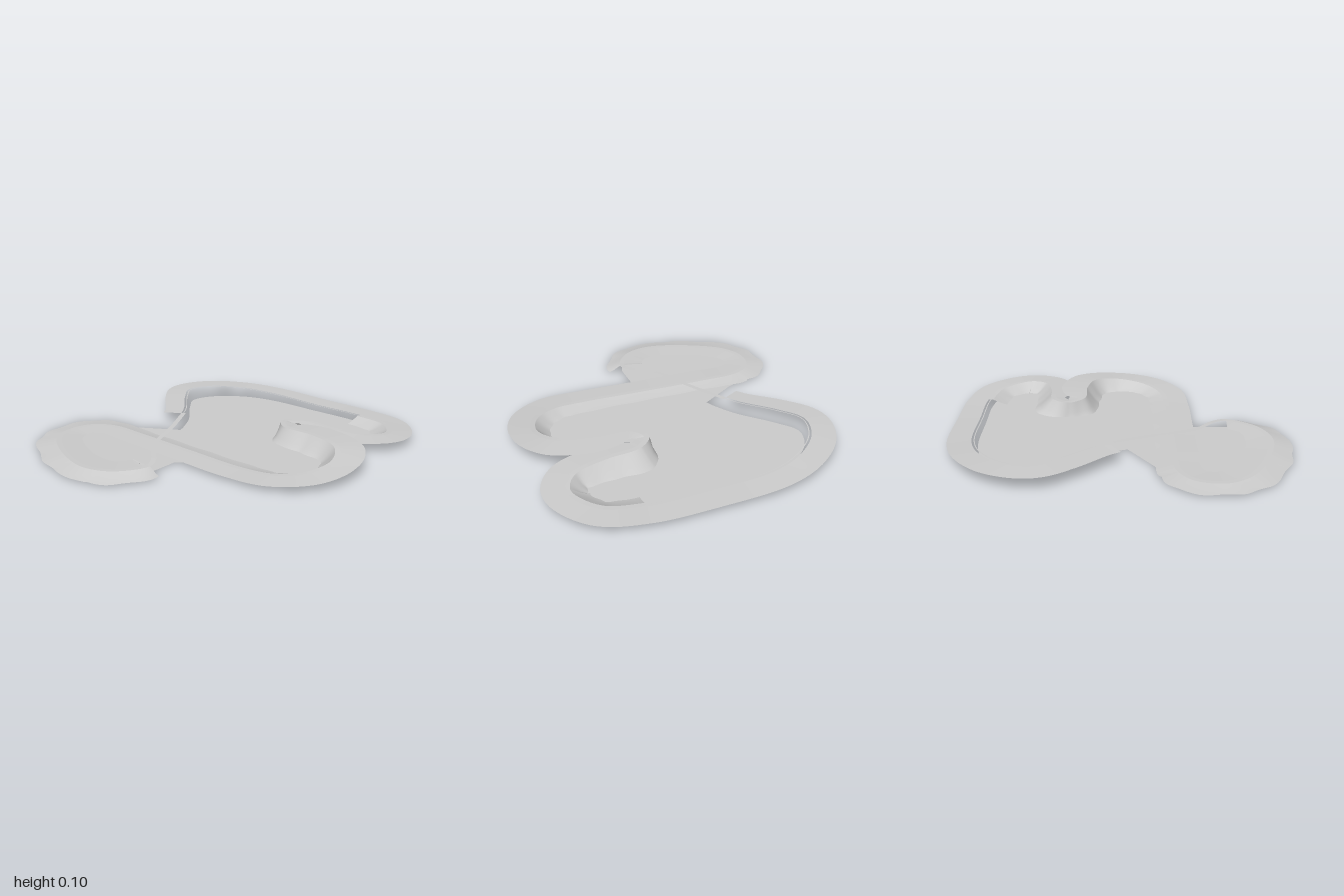
import * as THREE from 'three';

const grey = new THREE.MeshStandardMaterial({ color: 0xcccccc, side: THREE.DoubleSide });
grey.name = 'track grey';

// Centre line of the circuit: x, y, z (closed, crossing itself at the bridge)
const centre = [
  [-0.36, 0.068, 0.02], [-0.45, 0.07, -0.13], [-0.62, 0.075, -0.32], [-0.71, 0.076, -0.46],
  [-0.66, 0.07, -0.62], [-0.5, 0.058, -0.76], [-0.3, 0.045, -0.83], [0.1, 0.034, -0.845],
  [0.43, 0.036, -0.845], [0.65, 0.045, -0.79], [0.765, 0.058, -0.62], [0.7, 0.068, -0.49],
  [0.5, 0.08, -0.43], [0.3, 0.09, -0.41], [0.22, 0.093, -0.32], [0.29, 0.096, -0.23],
  [0.5, 0.097, -0.22], [0.7, 0.09, -0.16], [0.785, 0.07, 0], [0.74, 0.05, 0.18],
  [0.6, 0.035, 0.29], [0.4, 0.025, 0.32], [0, 0.022, 0.315], [-0.4, 0.022, 0.31],
  [-0.66, 0.022, 0.32], [-0.78, 0.022, 0.4], [-0.81, 0.022, 0.55], [-0.74, 0.025, 0.68],
  [-0.5, 0.03, 0.82], [-0.25, 0.035, 0.88], [-0.08, 0.04, 0.82], [0.02, 0.045, 0.66],
  [-0.02, 0.05, 0.58], [-0.16, 0.055, 0.45], [-0.27, 0.062, 0.2],
].map((p) => new THREE.Vector3(...p));
const count = centre.length;
const curve = new THREE.CatmullRomCurve3(centre, true);

// Widths of the two verges at each centre-line point
const outerWidth = [0.13, 0.135, 0.15, 0.155, 0.155, 0.155, 0.155, 0.155, 0.15, 0.145, 0.135, 0.14,
  0.14, 0.07, 0.05, 0.1, 0.16, 0.16, 0.14, 0.15, 0.15, 0.14, 0.14, 0.14,
  0.13, 0.13, 0.14, 0.14, 0.14, 0.15, 0.13, 0.14];
const bankWidth = [0, 0, 0, 0, 0, 0, 0, 0, 0.11, 0.1, 0.12, 0.09,
  0.11, 0.12, 0.03, 0.08, 0.1, 0.09, 0.1, 0.1, 0.1, 0.11, 0.1, 0.1,
  0.115, 0.13, 0.115, 0.13, 0.13, 0.12, 0.12, 0.09];
const lookup = (list, s) => {
  const i = Math.min(Math.floor(s), list.length - 1);
  const j = Math.min(i + 1, list.length - 1);
  return THREE.MathUtils.lerp(list[i], list[j], s - i);
};

// Point beside the centre line; positive offsets lie to the right of travel
function beside(s, offset, y) {
  const u = (s / count) % 1;
  const p = curve.getPoint(u);
  const e = 0.002;
  const t = curve.getPoint((u + e) % 1).sub(curve.getPoint((u - e + 1) % 1));
  const len = Math.hypot(t.x, t.z);
  return new THREE.Vector3(p.x - (t.z / len) * offset, y === undefined ? p.y : y, p.z + (t.x / len) * offset);
}

// Surface through a row of points for every step along the track, left to right
function ribbon(name, from, to, row) {
  const steps = Math.ceil((to - from) * 10);
  const pos = [], index = [];
  let n = 0;
  for (let i = 0; i <= steps; i++) {
    const pts = row(from + ((to - from) * i) / steps);
    n = pts.length;
    pts.forEach((p) => pos.push(p.x, p.y, p.z));
    if (i === 0) continue;
    for (let j = 0; j < n - 1; j++) {
      const a = (i - 1) * n + j, b = i * n + j;
      index.push(a, a + 1, b, a + 1, b + 1, b);
    }
  }
  const g = new THREE.BufferGeometry();
  g.setAttribute('position', new THREE.Float32BufferAttribute(pos, 3));
  g.setIndex(index);
  g.computeVertexNormals();
  const mesh = new THREE.Mesh(g, grey);
  mesh.name = name;
  return mesh;
}

export function createModel() {
  const model = new THREE.Group();
  model.name = 'raceCircuit';
  const half = 0.015;

  // Road, bridge and the slim rail in the open gap
  const road = (w) => (s) => [beside(s, -w), beside(s, w)];
  model.add(ribbon('road', 8, 31, road(half)));
  model.add(ribbon('bridge', 31, count + 0.5, road(half)));
  model.add(ribbon('gapRail', 0.5, 8, road(0.003)));

  // Verge along the left of the road, falling slightly outward
  model.add(ribbon('outerVerge', 0.5, 31, (s) => {
    const edge = beside(s, -lookup(outerWidth, s));
    edge.y = Math.max(0.012, edge.y - 0.004);
    return [edge, beside(s, -half)];
  }));

  // Bank along the right of the road, dropping to the infield
  model.add(ribbon('bank', 8, 31, (s) => {
    const lobe = s > 24;
    const ripple = lobe ? 0.008 * Math.sin(s * 7) : 0.003 * Math.sin(s * 9);
    const w = lookup(bankWidth, s) + ripple * (s > 28.5 && s < 29.5 ? 0.3 : 1);
    const bottom = lobe ? 0.008 : 0.004;
    const top = beside(s, half);
    const mid = beside(s, half + (w - half) * 0.6);
    mid.y = THREE.MathUtils.lerp(top.y, bottom, 0.7);
    return [top, mid, beside(s, w, bottom)];
  }));

  // Flat infield: main loop, neck under the bridge, then the small loop
  const outline = [];
  for (let s = 0; s <= 21.5; s += 0.125) {
    const p = beside(s, 0.018);
    outline.push(new THREE.Vector2(p.x, -p.z));
  }
  outline.push(new THREE.Vector2(0.02, -0.46));
  for (let s = 31; s >= 24.5; s -= 0.125) {
    const p = beside(s, 0);
    outline.push(new THREE.Vector2(p.x, -p.z));
  }
  outline.push(new THREE.Vector2(-0.7, -0.25), new THREE.Vector2(-0.56, -0.19), new THREE.Vector2(-0.33, -0.05));
  const floor = new THREE.Mesh(new THREE.ShapeGeometry(new THREE.Shape(outline)).rotateX(-Math.PI / 2), grey);
  floor.name = 'infield';
  model.add(floor);

  return model;
}
